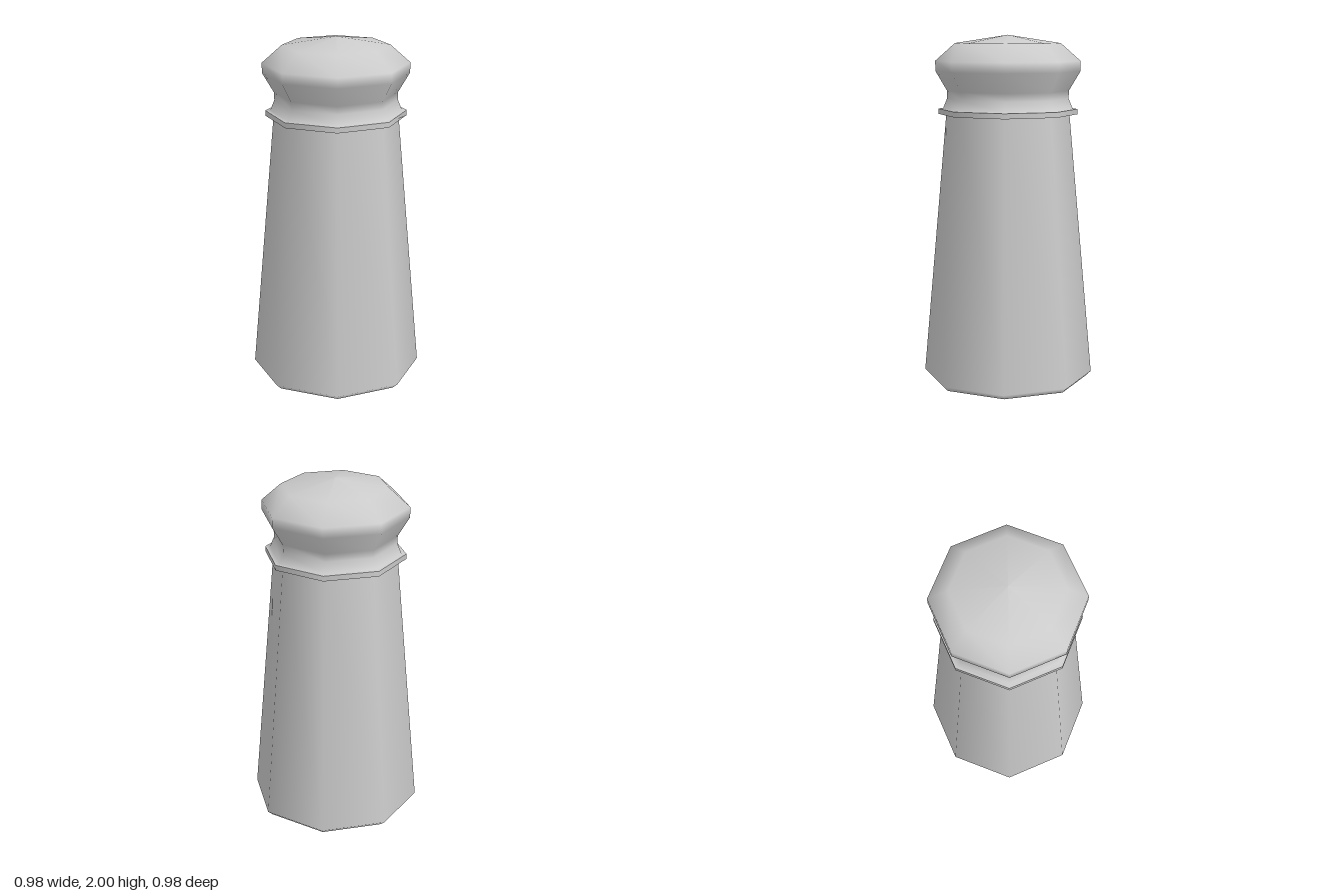
import * as THREE from 'three';

const material = new THREE.MeshStandardMaterial({ color: 0xcccccc });

// Eight-sided turned part from [radius, height] pairs, listed bottom to top
function turned(name, profile) {
  const points = profile.map(([r, y]) => new THREE.Vector2(r, y));
  const mesh = new THREE.Mesh(new THREE.LatheGeometry(points, 8), material);
  mesh.name = name;
  return mesh;
}

export function createModel() {
  const group = new THREE.Group();
  group.name = 'turnedPost';

  group.add(
    // Flat underside
    turned('base', [[0, 0], [0.46, 0]]),
    // Tapered shaft with a small bevel at the foot
    turned('shaft', [[0.46, 0], [0.492, 0.03], [0.354, 1.55]]),
    // Thin projecting ring
    turned('collarUnderside', [[0.35, 1.55], [0.4, 1.55]]),
    turned('collarRim', [[0.4, 1.55], [0.4, 1.58]]),
    // Pinched neck flaring into a domed head
    turned('neckAndHead', [
      [0.4, 1.58], [0.372, 1.582], [0.348, 1.64], [0.35, 1.685],
      [0.415, 1.795], [0.415, 1.853], [0.302, 1.953], [0, 2],
    ]),
  );
  return group;
}
